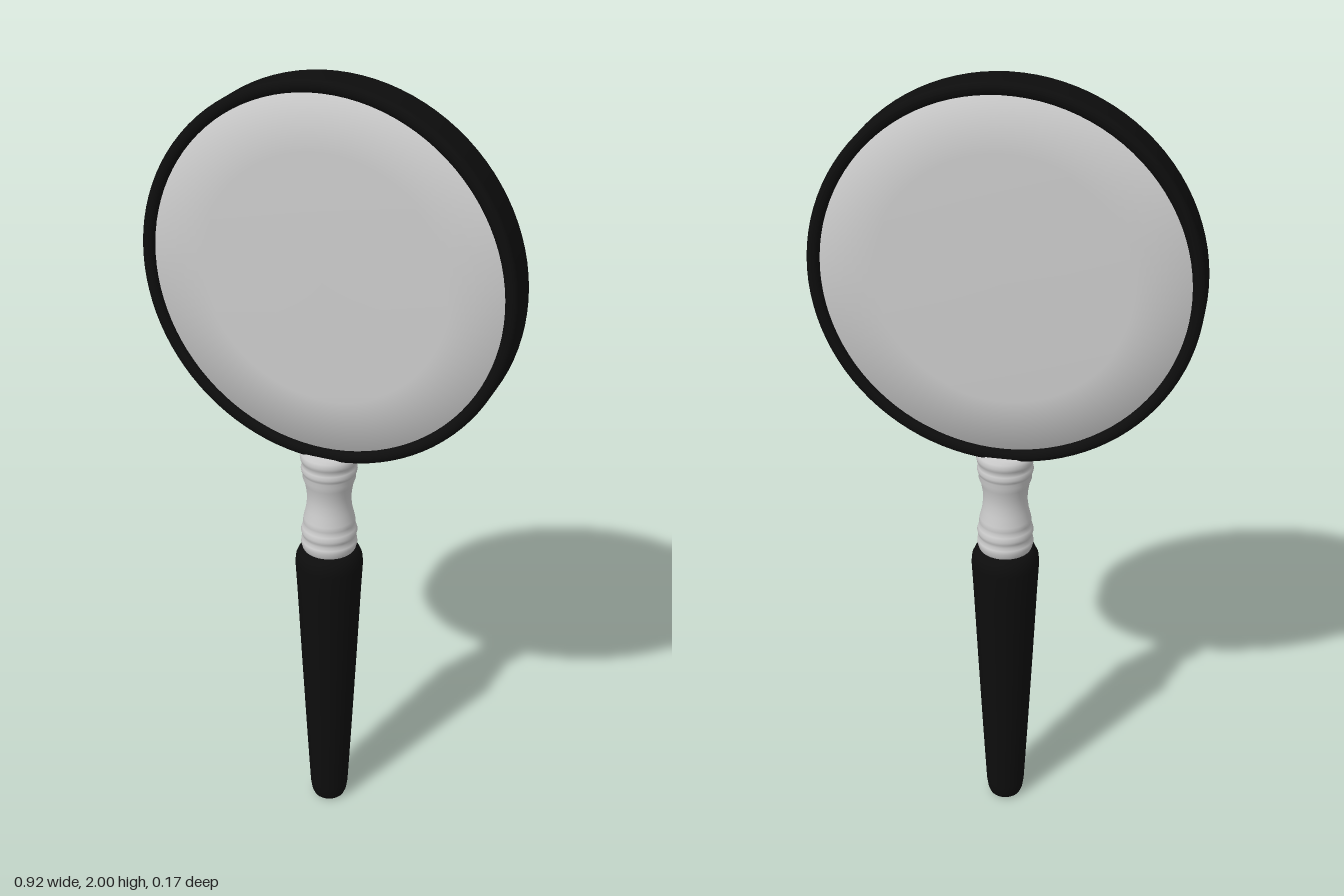
import * as THREE from 'three';

const grey = new THREE.MeshStandardMaterial({ color: 0xcccccc });
const black = new THREE.MeshStandardMaterial({ color: 0x0d0d0d });

// Turned part from [radius, height] pairs listed bottom to top
function turned(name, profile, material, segments) {
  const points = profile.map(([r, y]) => new THREE.Vector2(r, y));
  const mesh = new THREE.Mesh(new THREE.LatheGeometry(points, segments), material);
  mesh.name = name;
  return mesh;
}

// Closed cross-section of the rim: a rectangle with rounded corners
function rimProfile(inner, outer, half, round) {
  const corners = [
    [outer - round, -half + round, -90], [outer - round, half - round, 0],
    [inner + round, half - round, 90], [inner + round, -half + round, 180],
  ];
  const points = [];
  for (const [r, y, start] of corners) {
    for (let i = 0; i <= 4; i++) {
      const a = THREE.MathUtils.degToRad(start + i * 22.5);
      points.push([r + round * Math.cos(a), y + round * Math.sin(a)]);
    }
  }
  points.push(points[0]);
  return points;
}

export function createModel() {
  const model = new THREE.Group();
  model.name = 'magnifyingGlass';

  // Tapered grip with rounded ends
  model.add(turned('handle', [
    [0, 0], [0.034, 0], [0.042, 0.005], [0.047, 0.018], [0.051, 0.045],
    [0.06, 0.22], [0.072, 0.47], [0.082, 0.69], [0.086, 0.765],
    [0.084, 0.785], [0.077, 0.801], [0.066, 0.811], [0, 0.811],
  ], black, 48));

  // Metal collar: beads at both ends around a narrow waist
  const collar = [
    [0.062, 0.8], [0.068, 0.815], [0.071, 0.827], [0.07, 0.836], [0.065, 0.843],
    [0.069, 0.853], [0.071, 0.862], [0.068, 0.873], [0.063, 0.88], [0.066, 0.888],
    [0.064, 0.9], [0.058, 0.925], [0.055, 0.95], [0.056, 0.972], [0.06, 0.997],
    [0.066, 1.014], [0.063, 1.022], [0.068, 1.03], [0.07, 1.038], [0.068, 1.047],
    [0.065, 1.053], [0.07, 1.062], [0.072, 1.071], [0.07, 1.082], [0.062, 1.09],
  ];
  model.add(turned('collar', [[0, 0.8], ...collar, [0, 1.09]], grey, 48));

  // Rim and lens are turned about the z axis
  const head = new THREE.Group();
  head.name = 'head';
  head.position.y = 1.54;
  head.rotation.x = Math.PI / 2;
  head.add(turned('rim', rimProfile(0.43, 0.46, 0.05, 0.013), black, 96));
  head.add(turned('lens', [
    [0, -0.042], [0.15, -0.041], [0.3, -0.039], [0.435, -0.035],
    [0.435, 0.035], [0.3, 0.039], [0.15, 0.041], [0, 0.042],
  ], grey, 96));
  model.add(head);

  return model;
}
